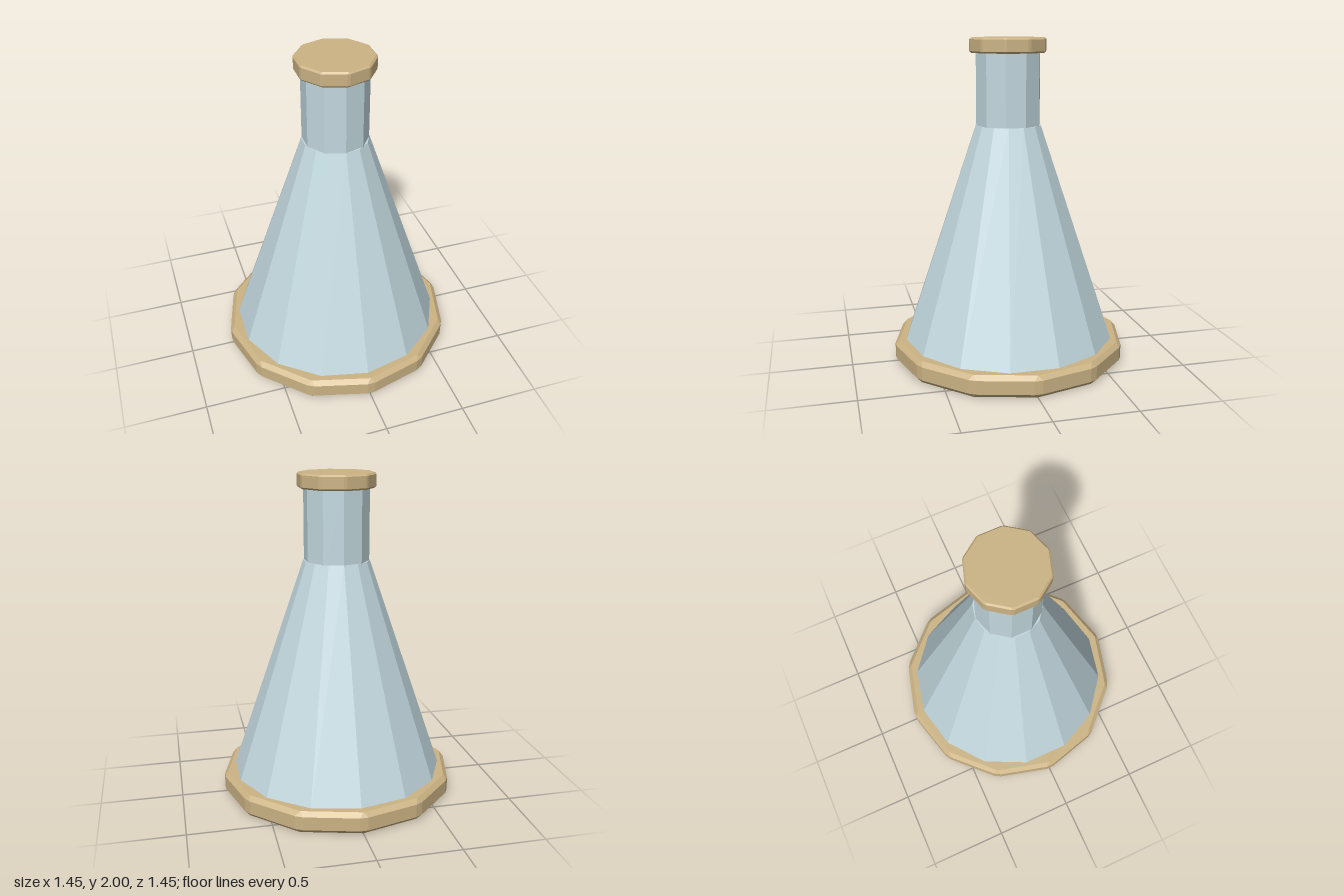
import * as THREE from 'three';
import { ConvexGeometry } from 'three/addons/geometries/ConvexGeometry.js';

const glass = new THREE.MeshStandardMaterial({ color: 0xc3d9df });
glass.name = 'pale blue glass';
glass.flatShading = true;
const cork = new THREE.MeshStandardMaterial({ color: 0xcbb384 });
cork.name = 'tan cork';
cork.flatShading = true;

// Polygonal disc with every edge, including the vertical ones, chamfered by b
function bevelledDisc(name, sides, radius, y0, y1, b) {
  const points = [];
  const step = (Math.PI * 2) / sides;
  const at = (i, r, y) => new THREE.Vector3(Math.sin(i * step) * r, y, Math.cos(i * step) * r);
  const inner = radius - b / Math.cos(step / 2);
  const cut = b / (2 * radius * Math.sin(step / 2));
  for (let i = 0; i < sides; i++) {
    points.push(at(i, inner, y0), at(i, inner, y1));
    for (const y of [y0 + b, y1 - b]) {
      const a = at(i, radius, y);
      const c = at(i + 1, radius, y);
      points.push(a.clone().lerp(c, cut), a.clone().lerp(c, 1 - cut));
    }
  }
  const mesh = new THREE.Mesh(new ConvexGeometry(points), cork);
  mesh.name = name;
  return mesh;
}

// Faceted tapered column
function column(name, sides, rTop, rBottom, y0, y1) {
  const geometry = new THREE.CylinderGeometry(rTop, rBottom, y1 - y0, sides);
  geometry.translate(0, (y0 + y1) / 2, 0);
  const mesh = new THREE.Mesh(geometry, glass);
  mesh.name = name;
  return mesh;
}

export function createModel() {
  const flask = new THREE.Group();
  flask.name = 'flask';
  flask.add(
    bevelledDisc('base', 12, 0.734, 0, 0.135, 0.026),
    column('body', 14, 0.203, 0.672, 0.1, 1.475),
    column('neck', 10, 0.2, 0.2, 1.4, 1.93),
    bevelledDisc('stopper', 10, 0.24, 1.91, 2, 0.01)
  );
  return flask;
}
